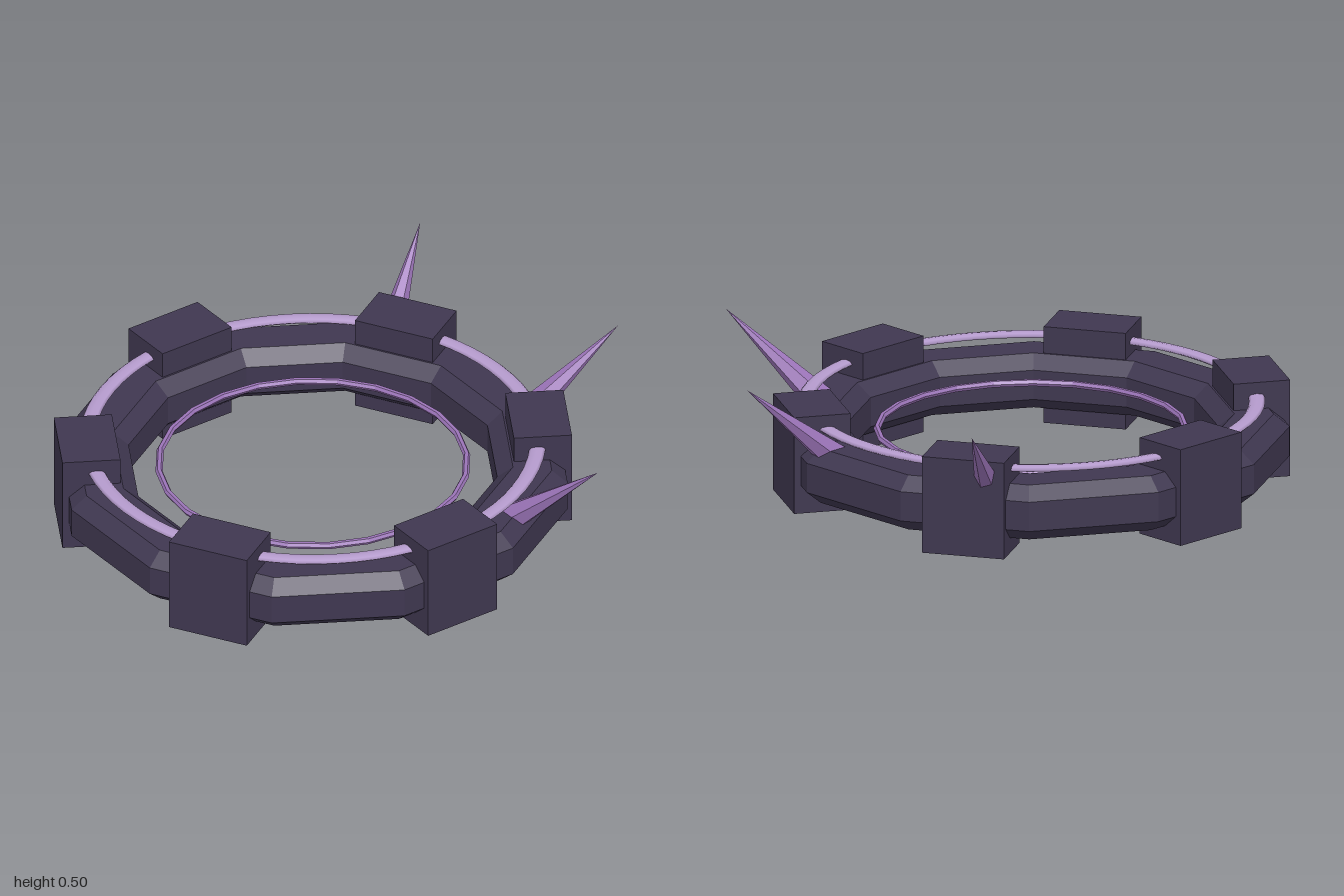
import * as THREE from 'three';

const CX = -0.113, CZ = 0.08; // centre of the ring; the spikes push it off the origin

export function createModel() {
  const model = new THREE.Group();
  const dark = new THREE.MeshStandardMaterial({ name: 'darkStone', color: 0x3f3750, flatShading: true });
  const violet = new THREE.MeshStandardMaterial({ name: 'violetCrystal', color: 0x9b74b8, flatShading: true });
  const lilac = new THREE.MeshStandardMaterial({ name: 'paleLilac', color: 0xb59bcd });

  const ring = new THREE.Group();
  ring.name = 'ring';
  ring.position.set(CX, 0, CZ);
  model.add(ring);

  const add = (name, geometry, material, parent = ring) => {
    const mesh = new THREE.Mesh(geometry, material);
    mesh.name = name;
    parent.add(mesh);
    return mesh;
  };

  // Twelve-sided band with chamfered edges
  const profile = [
    [0.885, 0.1], [0.885, 0.205], [0.83, 0.25], [0.695, 0.25],
    [0.64, 0.205], [0.64, 0.1], [0.695, 0.055], [0.83, 0.055], [0.885, 0.1],
  ].map(([r, y]) => new THREE.Vector2(r, y));
  add('band', new THREE.LatheGeometry(profile, 12), dark);

  // Six blocks clamped around the band
  const blockGeometry = new THREE.BoxGeometry(0.292, 0.345, 0.2);
  for (let i = 0; i < 6; i++) {
    const a = THREE.MathUtils.degToRad(15 + i * 60);
    const block = add('block', blockGeometry, dark);
    block.position.set(Math.sin(a) * 0.778, 0.1725, Math.cos(a) * 0.778);
    block.rotation.y = a;
  }

  // Flattened rail running from block to block above the band
  const rail = add('rail', new THREE.TorusGeometry(0.773, 0.028, 8, 72).rotateX(-Math.PI / 2), lilac);
  rail.scale.y = 0.4;
  rail.position.y = 0.294;

  // Thin floating inner hoop
  const hoop = add('innerHoop', new THREE.TorusGeometry(0.53, 0.0125, 6, 24).rotateX(-Math.PI / 2), violet);
  hoop.position.y = 0.195;

  // Three spikes leaning outward at the back
  const up = new THREE.Vector3(0, 1, 0);
  for (const degrees of [200, 150, 100]) {
    const a = THREE.MathUtils.degToRad(degrees);
    const at = (r, y) => new THREE.Vector3(Math.sin(a) * r, y, Math.cos(a) * r);
    const base = at(0.70, 0.15), tip = at(1.12, 0.503);
    const axis = tip.clone().sub(base);
    const spike = add('spike', new THREE.ConeGeometry(0.064, axis.length(), 6), violet);
    spike.position.copy(base).add(tip).multiplyScalar(0.5);
    spike.quaternion.setFromUnitVectors(up, axis.normalize());
  }

  return model;
}
